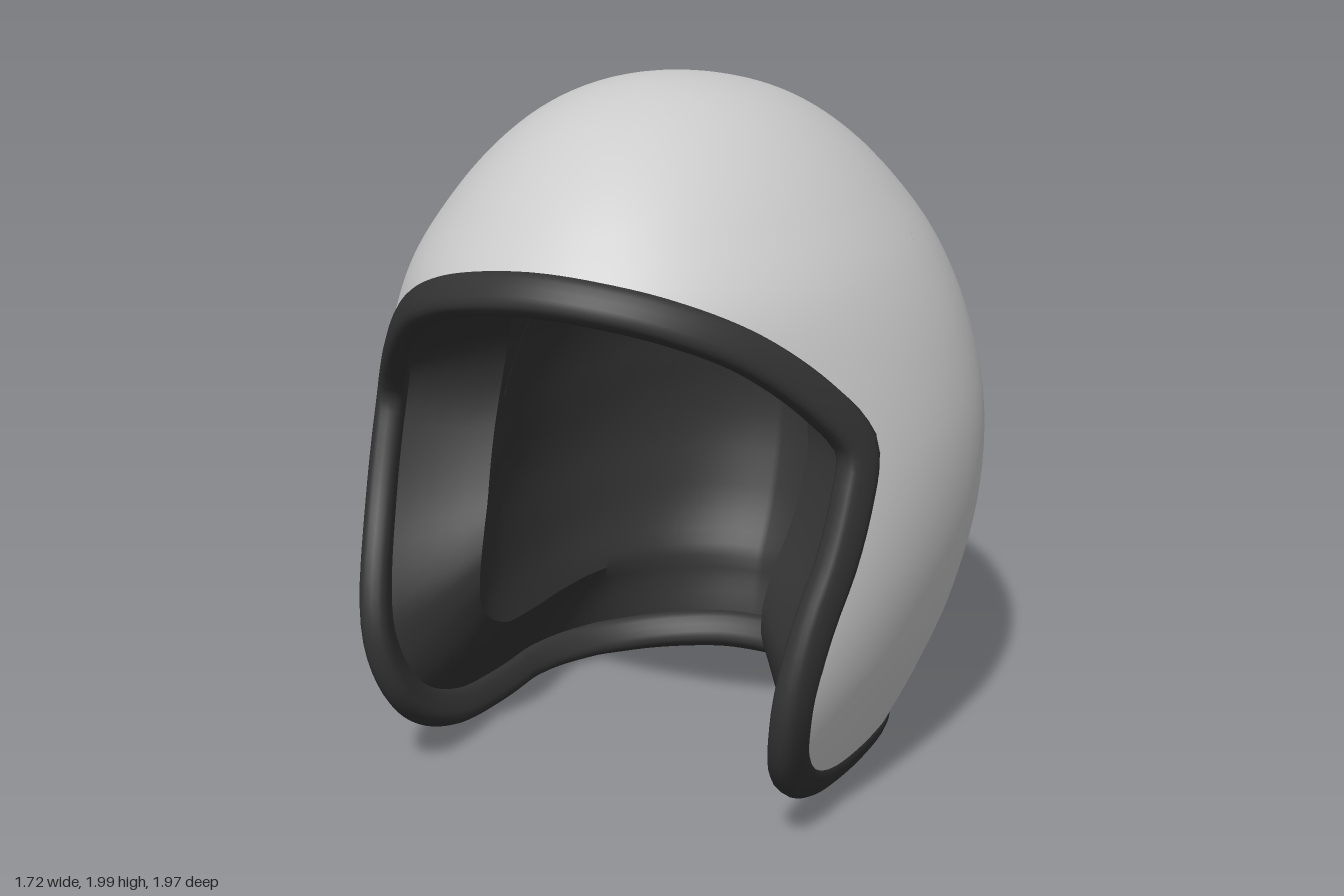
import * as THREE from 'three';
import { toCreasedNormals } from 'three/addons/utils/BufferGeometryUtils.js';

// Horizontal sections from crown down: y, half width, front z, back z, centre z
const ROWS = [
  [2, 0, 0.17, 0.17, 0.17], [1.98, 0.165, 0.36, -0.07, 0.15], [1.92, 0.32, 0.55, -0.31, 0.12],
  [1.82, 0.46, 0.71, -0.51, 0.09], [1.68, 0.59, 0.86, -0.68, 0.06], [1.5, 0.71, 0.99, -0.83, 0.03],
  [1.28, 0.80, 1.02, -0.92, 0], [1.02, 0.855, 1.04, -0.98, 0], [0.75, 0.85, 1.17, -0.95, 0],
  [0.48, 0.79, 1.38, -0.845, 0], [0.26, 0.705, 1.5, -0.70, 0], [0.09, 0.625, 1.5, -0.55, 0],
  [-0.1, 0.53, 1.45, -0.42, 0],
].map(([y, w, f, b, c]) => [y, w, f - c, c - b, c]);

// Edge of the shell on the left half, brow to nape: height, angle from +x towards +z
const EDGE = [
  [1.6, 90], [1.585, 75], [1.54, 60], [1.44, 45], [1.36, 38.5], [1.28, 33.5], [1.2, 29.3], [1.12, 27],
  [1.05, 27.3], [0.98, 28.4], [0.8, 30.5], [0.65, 32], [0.48, 31], [0.38, 29], [0.28, 26],
  [0.19, 21.5], [0.13, 15.5], [0.1, 7.7], [0.09, 0], [0.088, -11], [0.088, -22], [0.089, -33],
  [0.091, -45], [0.095, -56], [0.1, -67], [0.106, -78], [0.108, -90],
];

// Smooth section at distance r from the crown (rows are mirrored through the crown)
function section(r) {
  const last = ROWS.length - 1;
  const i = Math.min(Math.floor(r), last - 1), t = r - i;
  const row = (k) => {
    if (k >= 0) return ROWS[Math.min(k, last)];
    const [y, w, f, b, c] = ROWS[-k];
    return [y, -w, -f, -b, c];
  };
  const [p0, p1, p2, p3] = [row(i - 1), row(i), row(i + 1), row(i + 2)];
  return p1.map((v, k) => v + 0.5 * t * (p2[k] - p0[k]
    + t * (2 * p0[k] - 5 * v + 4 * p2[k] - p3[k] + t * (3 * (v - p2[k]) + p3[k] - p0[k]))));
}

// Helmet surface over a flat disc whose centre is the crown
function surface(u, v) {
  const r = Math.hypot(u, v) || 1e-9;
  const [y, w, f, b, c] = section(r);
  return new THREE.Vector3(w * u / r, y, c + (v > 0 ? f : b) * v / r);
}

function surfaceNormal(u, v) {
  const e = 0.03;
  const du = surface(u + e, v).sub(surface(u - e, v));
  const dv = surface(u, v + e).sub(surface(u, v - e));
  return dv.cross(du).normalize();
}

function discPoint([y, deg]) {
  let lo = 0, hi = ROWS.length - 1;
  for (let k = 0; k < 40; k++) {
    const mid = (lo + hi) / 2;
    if (section(mid)[0] > y) lo = mid; else hi = mid;
  }
  const a = THREE.MathUtils.degToRad(deg);
  return new THREE.Vector3(lo * Math.cos(a), lo * Math.sin(a), 0);
}

// Grid closed in i; point(i, j) returns a position and, if known, a normal
function grid(ni, nj, point, { closeJ = false, flip = false } = {}) {
  const pos = [], nor = [], index = [];
  const rows = closeJ ? nj : nj + 1;
  for (let j = 0; j < rows; j++) {
    for (let i = 0; i < ni; i++) {
      const [p, n] = point(i, j);
      pos.push(p.x, p.y, p.z);
      if (n) nor.push(n.x, n.y, n.z);
    }
  }
  for (let j = 0; j < nj; j++) {
    for (let i = 0; i < ni; i++) {
      const i2 = (i + 1) % ni, j2 = (j + 1) % rows;
      const a = j * ni + i, b = j * ni + i2, c = j2 * ni + i2, d = j2 * ni + i;
      if (flip) index.push(a, c, b, a, d, c);
      else index.push(a, b, c, a, c, d);
    }
  }
  const geo = new THREE.BufferGeometry();
  geo.setAttribute('position', new THREE.Float32BufferAttribute(pos, 3));
  geo.setIndex(index);
  if (nor.length) geo.setAttribute('normal', new THREE.Float32BufferAttribute(nor, 3));
  else geo.computeVertexNormals();
  return geo;
}

export function createModel() {
  const group = new THREE.Group();
  const add = (name, geo, color) => {
    const mesh = new THREE.Mesh(geo, new THREE.MeshStandardMaterial({ color }));
    mesh.name = name;
    group.add(mesh);
  };

  // Closed edge loop in the disc
  const half = EDGE.map(discPoint);
  const mirrored = half.slice(1, -1).reverse().map((p) => new THREE.Vector3(-p.x, p.y, 0));
  const N = 320;
  const loop = new THREE.CatmullRomCurve3([...half, ...mirrored], true).getSpacedPoints(N).slice(0, N);
  const at = (i) => loop[(i + N) % N];

  // Path from the edge (s = 0), square to it at first, to a point on the back (s = 1)
  const inward = (i, s) => {
    const p = at(i), t = at(i + 4).clone().sub(at(i - 4)).normalize();
    const k = 2 * s * (1 - s), a = (1 - s) ** 2;
    const cx = p.x + 2.5 * t.y, cy = p.y - 2.5 * t.x;
    return [a * p.x + k * cx, a * p.y + k * cy - 4 * s * s];
  };

  // Outer shell
  add('shell', grid(N, 48, (i, j) => {
    const q = inward(i, j / 48);
    return [surface(...q), surfaceNormal(...q)];
  }), 0xcccccc);

  // Padded liner: a sloping lip, then padding that is thickest at the cheeks
  const steps = [0, 0.02, 0.05, 0.08, 0.11, 0.14];
  for (let k = 1; k <= 24; k++) steps.push(0.14 + 0.86 * k / 24);
  const liner = grid(N, steps.length - 1, (i, j) => {
    const s = steps[j], q = inward(i, s), n = surfaceNormal(...q);
    const padding = 0.18 + 0.1 * Math.abs(n.x) + 0.16 * Math.min(0, n.y);
    const depth = 0.05 + padding * Math.min(1, s / 0.14);
    return [surface(...q).addScaledVector(n, -depth)];
  }, { flip: true });
  add('liner', toCreasedNormals(liner, 0.6), 0x333333);

  // Rounded rubber trim along the whole edge, wider down the sides of the face
  const edge = loop.map((p) => surface(p.x, p.y));
  const frames = edge.map((p, i) => {
    const n = surfaceNormal(loop[i].x, loop[i].y);
    const t = edge[(i + 2) % N].clone().sub(edge[(i + N - 2) % N]).normalize();
    const out = t.cross(n).normalize();
    return { p, n, out, reach: 0.05 + 0.012 * Math.max(0, out.z) };
  });
  const M = 20;
  const soft = (v) => Math.sign(v) * Math.abs(v) ** 0.7;
  add('edgeTrim', grid(N, M, (i, j) => {
    const { p, n, out, reach } = frames[i], a = j / M * Math.PI * 2;
    return [p.clone().addScaledVector(out, reach - 0.008 + reach * soft(Math.cos(a)))
      .addScaledVector(n, -0.03 + 0.042 * soft(Math.sin(a)))];
  }, { closeJ: true }), 0x333333);

  return group;
}
